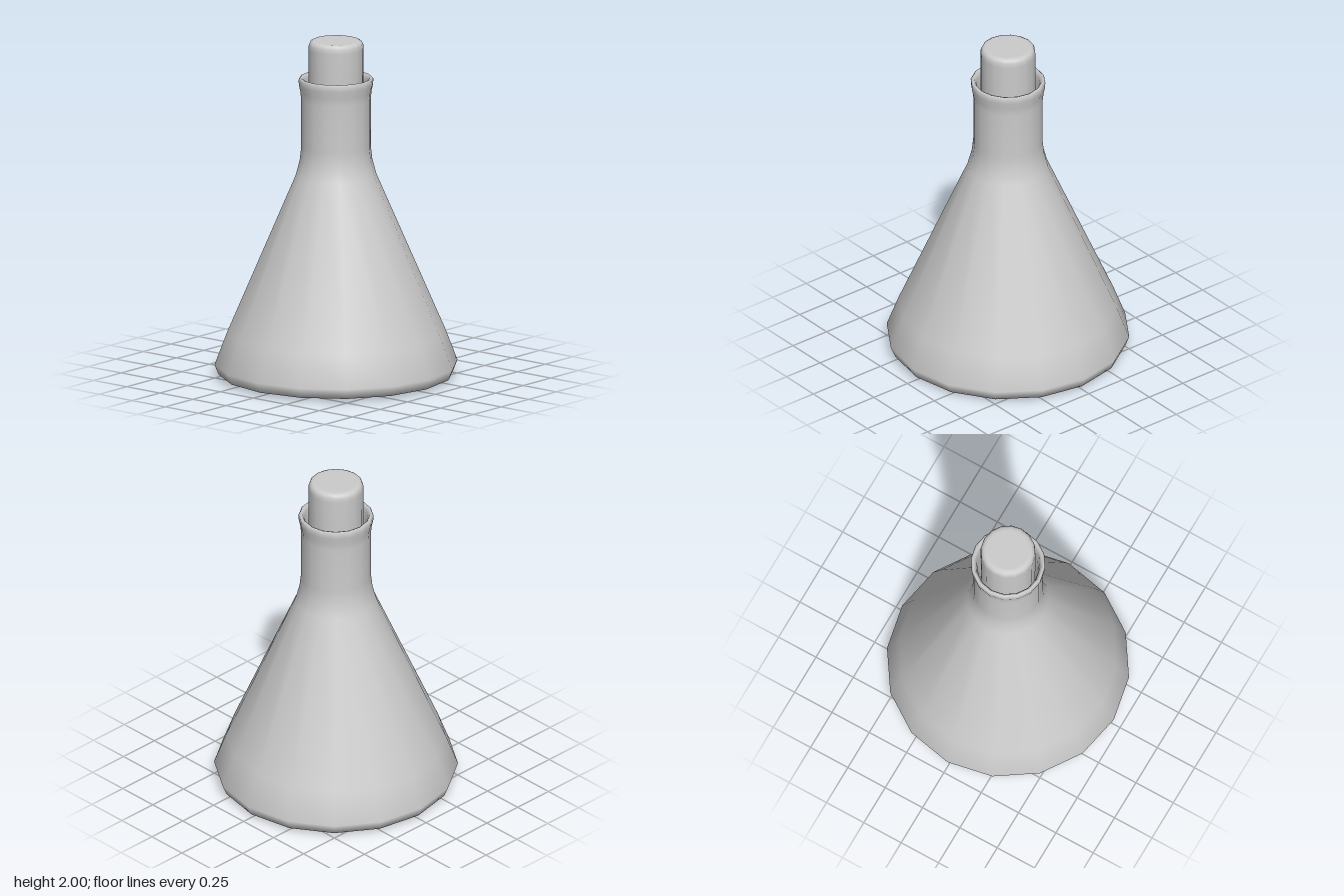
import * as THREE from 'three';

const SIDES = 16;
const material = new THREE.MeshStandardMaterial({ color: 0xcccccc });

// Revolve a [radius, height] profile, listed from the bottom centre outwards and up
function turned(name, profile) {
  const points = profile.map(([r, y]) => new THREE.Vector2(r, y));
  const mesh = new THREE.Mesh(new THREE.LatheGeometry(points, SIDES), material);
  mesh.name = name;
  return mesh;
}

export function createModel() {
  const model = new THREE.Group();
  model.name = 'stopperedFlask';

  // Conical body, straight neck, flared lip and the inner wall of the neck
  model.add(turned('flask', [
    [0, 0.005], [0.3, 0.004], [0.59, 0], [0.685, 0.02], [0.709, 0.08],
    [0.637, 0.27], [0.236, 1.2], [0.212, 1.29], [0.203, 1.37],
    [0.203, 1.65], [0.208, 1.7], [0.217, 1.74], [0.218, 1.77],
    [0.209, 1.781], [0.196, 1.776], [0.187, 1.755], [0.178, 1.69],
    [0.174, 1.62], [0.15, 1.5],
  ]));

  // Cylindrical stopper with a softened top edge, seated in the neck
  model.add(turned('stopper', [
    [0, 1.5], [0.152, 1.5], [0.159, 1.56], [0.161, 1.95], [0.159, 1.975],
    [0.152, 1.992], [0.138, 2], [0.12, 2], [0, 2],
  ]));

  return model;
}
